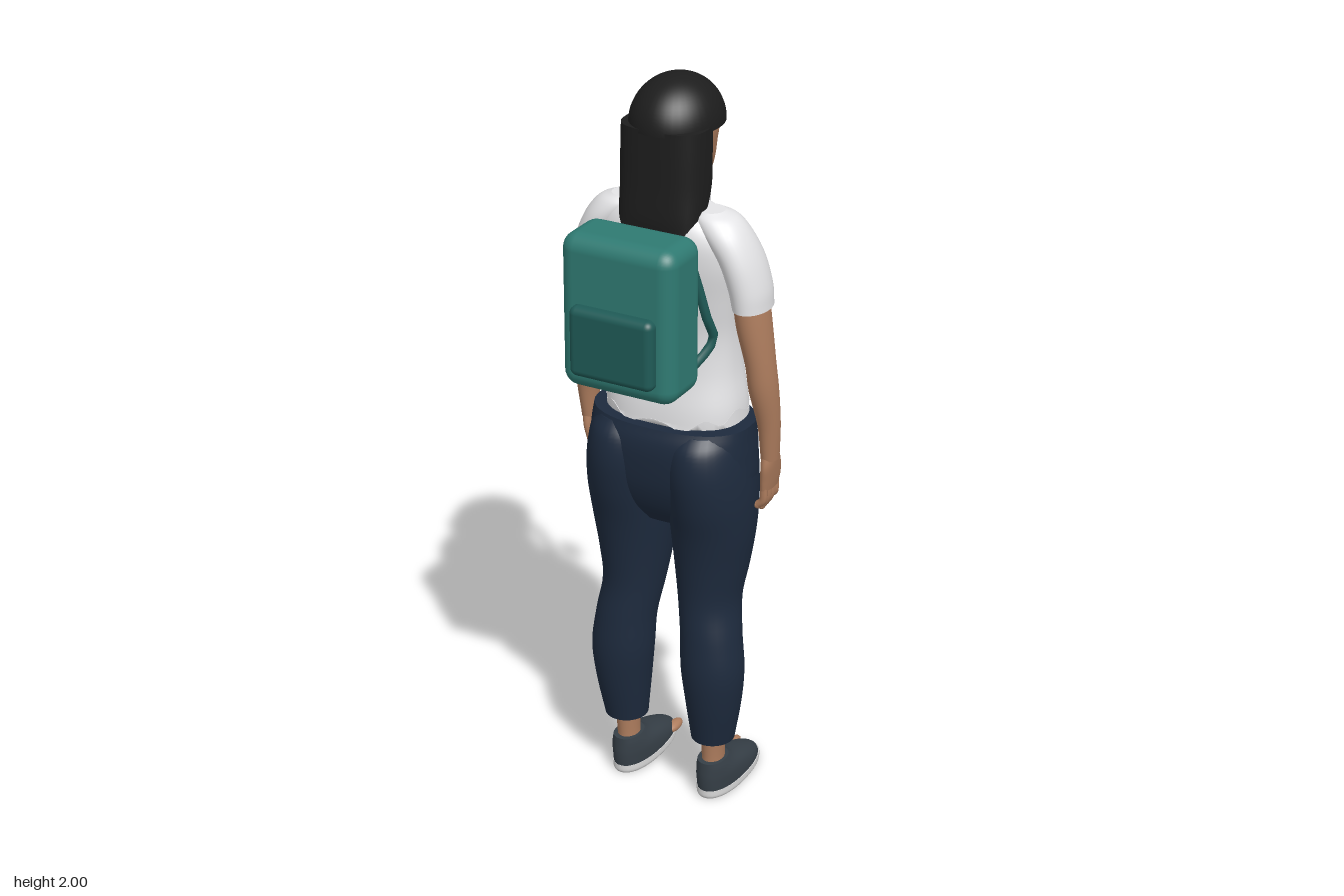
import * as THREE from 'three';
import { RoundedBoxGeometry } from 'three/addons/geometries/RoundedBoxGeometry.js';

const mat = (name, color) => new THREE.MeshStandardMaterial({ name, color, side: THREE.DoubleSide });

// Smooth body through ellipse-like rings, bottom to top: [y, centreX, halfWidth, zFront, zBack]
function loft(rings, { n = 2, seg = 36, sub = 5, caps = true, warp } = {}) {
  const c1 = new THREE.CatmullRomCurve3(rings.map(r => new THREE.Vector3(r[0], r[1], r[2])), false, 'catmullrom');
  const c2 = new THREE.CatmullRomCurve3(rings.map(r => new THREE.Vector3(r[3], r[4], 0)), false, 'catmullrom');
  const rows = (rings.length - 1) * sub, pos = [], idx = [];
  const bend = v => Math.sign(v) * Math.abs(v) ** (2 / n);
  for (let i = 0; i <= rows; i++) {
    const a = c1.getPoint(i / rows), b = c2.getPoint(i / rows);
    for (let j = 0; j < seg; j++) {
      const t = j / seg * Math.PI * 2;
      const p = new THREE.Vector3(a.y + a.z * bend(Math.cos(t)), a.x,
        (b.x + b.y) / 2 + (b.y - b.x) / 2 * bend(Math.sin(t)));
      if (warp) warp(p, i, t);
      pos.push(p.x, p.y, p.z);
      if (i < rows) {
        const k = i * seg + j, l = i * seg + (j + 1) % seg;
        idx.push(k, k + seg, l, l, k + seg, l + seg);
      }
    }
  }
  if (caps) for (const i of [0, rows]) {
    const base = pos.length / 3, r = rings[i ? rings.length - 1 : 0];
    for (let j = 0; j < seg; j++) pos.push(...pos.slice((i * seg + j) * 3, (i * seg + j) * 3 + 3));
    pos.push(r[1], r[0], (r[3] + r[4]) / 2);
    for (let j = 0; j < seg; j++) {
      const k = base + j, l = base + (j + 1) % seg;
      idx.push(base + seg, i ? l : k, i ? k : l);
    }
  }
  const g = new THREE.BufferGeometry();
  g.setAttribute('position', new THREE.Float32BufferAttribute(pos, 3));
  g.setIndex(idx);
  g.computeVertexNormals();
  return g;
}

export function createModel() {
  const root = new THREE.Group();
  root.name = 'studentWithBackpack';
  const skin = mat('skin', 0xae7d5e), black = mat('hairBlack', 0x1d1d1d), white = mat('shirtWhite', 0xe4e4e6);
  const navy = mat('trouserNavy', 0x1d2a3d), teal = mat('backpackTeal', 0x2f7a72), deep = mat('pocketTeal', 0x1f5a56);
  const slate = mat('shoeSlate', 0x363f47), sole = mat('soleGrey', 0xd5d5d5), lip = mat('lips', 0x8c5346);

  const add = (name, geo, m, x = 0, y = 0, z = 0) => {
    const mesh = new THREE.Mesh(geo, m);
    mesh.name = name;
    mesh.position.set(x, y, z);
    root.add(mesh);
    return mesh;
  };
  const ball = (name, m, p, s) => {
    const b = add(name, new THREE.SphereGeometry(1, 16, 12), m, ...p);
    b.scale.set(...s);
    return b;
  };
  const rod = (name, m, pts, r) =>
    add(name, new THREE.TubeGeometry(new THREE.CatmullRomCurve3(pts.map(p => new THREE.Vector3(...p))), 12, r, 8), m);

  // Head and neck
  add('head', loft([[1.712, 0, 0.022, -0.18, -0.13], [1.73, 0, 0.048, -0.191, -0.08], [1.77, 0, 0.071, -0.194, 0],
    [1.82, 0, 0.083, -0.194, 0.03], [1.88, 0, 0.09, -0.196, 0.045], [1.94, 0, 0.07, -0.16, 0.02]], { n: 2.2 }), skin);
  add('neck', loft([[1.62, 0, 0.065, -0.13, 0.01], [1.68, 0, 0.054, -0.128, 0], [1.76, 0, 0.054, -0.13, 0]]), skin);
  add('nose', loft([[1.78, 0, 0.014, -0.2, -0.17], [1.79, 0, 0.02, -0.213, -0.17], [1.805, 0, 0.014, -0.214, -0.17],
    [1.85, 0, 0.009, -0.198, -0.17]], { seg: 16 }), skin);
  ball('upperLip', lip, [0, 1.76, -0.191], [0.022, 0.005, 0.008]);
  ball('lowerLip', lip, [0, 1.752, -0.191], [0.018, 0.006, 0.008]);

  // Hair: crown cap and long back curtain
  const cap = add('hairCap', new THREE.SphereGeometry(1, 40, 20, 0, Math.PI * 2, 0, Math.PI * 0.5), black, 0, 1.88, -0.07);
  cap.scale.set(0.115, 0.12, 0.136);
  add('hairCurtain', loft([[1.63, 0, 0.1, 0.02, 0.062], [1.67, 0, 0.11, -0.05, 0.066], [1.74, 0, 0.113, -0.088, 0.064],
    [1.82, 0, 0.113, -0.092, 0.062], [1.89, 0, 0.112, -0.095, 0.06]], { n: 2.8 }), black);

  // Shirt with chest shape and an uneven hem
  add('shirt', loft([[1.1, 0, 0.187, -0.205, 0.052], [1.16, 0, 0.185, -0.198, 0.047], [1.25, 0, 0.172, -0.188, 0.033],
    [1.35, 0, 0.168, -0.174, 0.03], [1.45, 0, 0.178, -0.162, 0.045], [1.55, 0, 0.19, -0.148, 0.062],
    [1.62, 0, 0.18, -0.128, 0.064], [1.67, 0, 0.135, -0.11, 0.048], [1.69, 0, 0.07, -0.1, 0.01]], {
    n: 2.5, seg: 64,
    warp: (p, i, t) => {
      if (p.z < -0.06) {
        const d = ((Math.abs(p.x) - 0.085) / 0.055) ** 2 + ((p.y - 1.45) / 0.06) ** 2;
        p.z -= 0.04 * Math.exp(-d);
      }
      if (i === 0) p.y += 0.012 + 0.03 * Math.cos(t) ** 2 + 0.012 * Math.sin(t * 9);
    },
  }), white);
  add('waist', loft([[1.06, 0, 0.175, -0.19, 0.045], [1.1, 0, 0.177, -0.19, 0.04], [1.18, 0, 0.168, -0.18, 0.03]], { n: 2.4 }), skin);
  add('collar', loft([[1.655, 0, 0.085, -0.15, 0.03], [1.685, 0, 0.075, -0.152, 0.022], [1.715, 0, 0.064, -0.142, 0.015]],
    { caps: false, warp: (p, i, t) => { if (i > 5 && Math.sin(t) < 0) p.y -= 0.03 * Math.sin(t) ** 8; } }), white);
  add('placket', new THREE.BoxGeometry(0.03, 0.57, 0.009), white, 0, 1.375, -0.214);
  add('badge', new THREE.BoxGeometry(0.066, 0.085, 0.008), white, 0.088, 1.52, -0.211);
  add('badgePatch', new THREE.BoxGeometry(0.034, 0.042, 0.004), skin, 0.088, 1.525, -0.216);

  // Trouser seat
  add('trouserHips', loft([[0.82, 0, 0.11, -0.12, 0.02], [0.87, 0, 0.185, -0.165, 0.055], [0.94, 0, 0.224, -0.19, 0.08],
    [1.02, 0, 0.224, -0.204, 0.09], [1.07, 0, 0.22, -0.204, 0.088], [1.108, 0, 0.217, -0.2, 0.075]], { n: 2.4, seg: 48 }), navy);

  for (const s of [1, -1]) {
    const side = s > 0 ? 'left' : 'right';
    const limb = (name, rings, m, opt) => add(side + name, loft(rings.map(([y, x, ...r]) => [y, x * s, ...r]), opt), m);

    // Face details
    ball(side + 'EyeWhite', sole, [0.034 * s, 1.836, -0.186], [0.014, 0.006, 0.006]);
    ball(side + 'Iris', black, [0.033 * s, 1.836, -0.19], [0.007, 0.006, 0.004]);
    ball(side + 'Brow', black, [0.036 * s, 1.858, -0.188], [0.021, 0.004, 0.007]).rotation.z = 0.12 * s;

    // Sleeve, arm and hand
    limb('Sleeve', [[1.448, 0.23, 0.046, -0.11, 0.03], [1.5, 0.222, 0.05, -0.112, 0.034], [1.57, 0.2, 0.053, -0.11, 0.04],
      [1.63, 0.165, 0.06, -0.1, 0.042], [1.67, 0.135, 0.058, -0.085, 0.03], [1.688, 0.12, 0.035, -0.06, 0.01]], white);
    limb('Arm', [[1.02, 0.262, 0.022, -0.115, -0.055], [1.12, 0.263, 0.028, -0.108, -0.038], [1.22, 0.256, 0.036, -0.1, -0.01],
      [1.3, 0.25, 0.037, -0.092, 0.002], [1.4, 0.234, 0.043, -0.094, 0.015], [1.5, 0.222, 0.042, -0.095, 0.02]], skin);
    limb('Palm', [[0.93, 0.252, 0.015, -0.145, -0.062], [0.96, 0.255, 0.018, -0.148, -0.056],
      [1.0, 0.26, 0.019, -0.135, -0.05], [1.04, 0.262, 0.022, -0.112, -0.057]], skin);
    for (let f = 0; f < 4; f++) {
      const z = -0.072 - f * 0.021, tip = [0.873, 0.862, 0.865, 0.878][f];
      rod(side + 'Finger', skin, [[0.252 * s, 0.94, z], [0.25 * s, 0.9, z - 0.002], [0.234 * s, tip + 0.009, z - 0.004]], 0.0105);
      ball(side + 'FingerTip', skin, [0.234 * s, tip + 0.009, z - 0.004], [0.0105, 0.0105, 0.0105]);
    }
    rod(side + 'Thumb', skin, [[0.25 * s, 1.0, -0.122], [0.236 * s, 0.965, -0.15], [0.226 * s, 0.925, -0.152]], 0.011);
    ball(side + 'ThumbTip', skin, [0.226 * s, 0.925, -0.152], [0.011, 0.011, 0.011]);

    // Trouser leg
    limb('TrouserLeg', [[0.18, 0.132, 0.058, -0.095, 0.025], [0.3, 0.136, 0.075, -0.105, 0.048], [0.4, 0.135, 0.085, -0.106, 0.058],
      [0.5, 0.127, 0.082, -0.112, 0.052], [0.6, 0.113, 0.083, -0.14, 0.042], [0.7, 0.113, 0.097, -0.168, 0.048],
      [0.8, 0.116, 0.109, -0.182, 0.063], [0.9, 0.118, 0.112, -0.194, 0.088], [0.99, 0.115, 0.11, -0.2, 0.101],
      [1.06, 0.112, 0.102, -0.2, 0.093], [1.1, 0.112, 0.085, -0.18, 0.065]], navy);

    // Ankle, shoe and exposed toe
    limb('Ankle', [[0.06, 0.13, 0.034, -0.09, 0], [0.11, 0.13, 0.029, -0.08, -0.005], [0.2, 0.132, 0.032, -0.078, 0.002]], skin);
    limb('Sole', [[0, 0.13, 0.053, -0.266, 0.006], [0.008, 0.13, 0.057, -0.272, 0.01], [0.024, 0.13, 0.057, -0.272, 0.01]],
      sole, { n: 2.2 });
    limb('Shoe', [[0.022, 0.13, 0.055, -0.268, 0.009], [0.042, 0.13, 0.055, -0.252, 0.011], [0.065, 0.13, 0.052, -0.2, 0.012],
      [0.09, 0.13, 0.044, -0.125, 0.011], [0.11, 0.13, 0.037, -0.092, 0.01]], slate, { n: 2.2 });
    ball(side + 'Toe', skin, [0.092 * s, 0.033, -0.228], [0.017, 0.014, 0.038]);

    // Shoulder strap
    const strap = rod(side + 'Strap', deep, [[0.12 * s, 1.6, 0.09], [0.135 * s, 1.52, 0.07], [0.15 * s, 1.43, 0.05],
      [0.155 * s, 1.37, 0.025], [0.14 * s, 1.33, 0.05], [0.12 * s, 1.3, 0.09]], 0.012);
    strap.userData.part = 'strap';
  }

  // Backpack and front pocket
  add('backpack', new RoundedBoxGeometry(0.316, 0.405, 0.163, 4, 0.042), teal, 0, 1.4625, 0.1635);
  add('backpackPocket', new RoundedBoxGeometry(0.232, 0.185, 0.06, 4, 0.02), deep, 0, 1.4, 0.244);
  return root;
}
